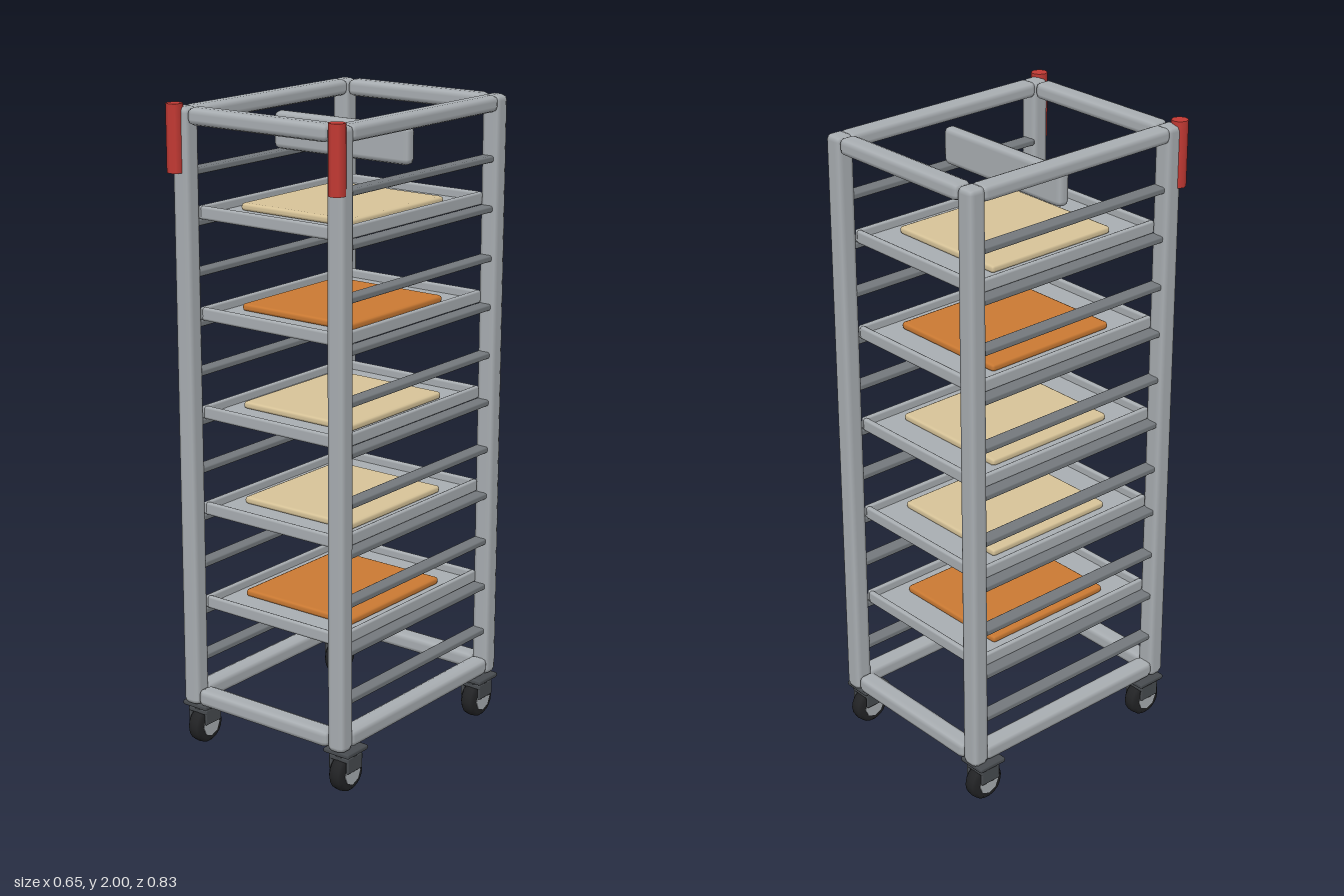
import * as THREE from 'three';
import { RoundedBoxGeometry } from 'three/addons/geometries/RoundedBoxGeometry.js';

export function createModel() {
  const model = new THREE.Group();
  model.name = 'trayTrolley';

  const paint = (name, color) => {
    const m = new THREE.MeshStandardMaterial({ color });
    m.name = name;
    return m;
  };
  const steel = paint('brushed steel', 0xa9aeb2);
  const railGrey = paint('rail grey', 0x74797d);
  const darkMetal = paint('dark metal', 0x484c50);
  const rubber = paint('black rubber', 0x222325);
  const red = paint('red bumper', 0xc43a34);
  const cream = paint('cream dough', 0xd8c499);
  const orange = paint('orange crust', 0xcb7a33);

  const add = (parent, name, geometry, material, x, y, z) => {
    const mesh = new THREE.Mesh(geometry, material);
    mesh.name = name;
    mesh.position.set(x, y, z);
    parent.add(mesh);
    return mesh;
  };
  // Box with softened edges, centred on x, y, z
  const bar = (parent, name, material, [w, h, d], [x, y, z], bevel) =>
    add(parent, name, new RoundedBoxGeometry(w, h, d, 1, bevel), material, x, y, z);

  const postX = 0.282, frontZ = 0.36, backZ = -0.385, midZ = -0.0125;

  // Frame: four posts, with side rails between them
  const frame = new THREE.Group();
  frame.name = 'frame';
  model.add(frame);
  for (const s of [-1, 1]) {
    for (const z of [frontZ, backZ])
      bar(frame, 'post', steel, [0.06, 1.85, 0.06], [s * postX, 1.065, z], 0.018);
    bar(frame, 'topSideRail', steel, [0.06, 0.05, 0.71], [s * postX, 1.965, midZ], 0.018);
    bar(frame, 'bottomSideRail', steel, [0.06, 0.055, 0.71], [s * postX, 0.172, midZ], 0.018);
    add(frame, 'cornerBumper', new THREE.CylinderGeometry(0.025, 0.025, 0.2, 8), red,
      s * 0.295, 1.9, 0.39);
  }
  // Cross bars at the front and back
  for (const z of [frontZ, backZ]) {
    bar(frame, 'topCrossBar', steel, [0.505, 0.052, 0.06], [0, 1.965, z], 0.018);
    bar(frame, 'bottomCrossBar', steel, [0.505, 0.055, 0.06], [0, 0.172, z], 0.018);
  }
  bar(frame, 'centreBoard', steel, [0.5, 0.115, 0.042], [0, 1.88, -0.013], 0.018);

  // Runners that carry the trays
  const runners = new THREE.Group();
  runners.name = 'runners';
  model.add(runners);
  for (let i = 0; i < 11; i++)
    for (const s of [-1, 1])
      bar(runners, 'runner', railGrey, [0.045, 0.02, 0.7], [s * 0.277, 0.29 + i * 0.151, midZ], 0.006);

  // Trays with raised rims, one on every second runner
  const loads = [orange, cream, cream, orange, cream];
  loads.forEach((load, i) => {
    const tray = new THREE.Group();
    tray.name = 'tray';
    tray.position.set(0, 0.451 + i * 0.302, midZ);
    bar(tray, 'trayBase', steel, [0.51, 0.014, 0.69], [0, 0.007, 0], 0.004);
    for (const s of [-1, 1]) {
      bar(tray, 'trayEndRim', steel, [0.51, 0.04, 0.018], [0, 0.02, s * 0.338], 0.008);
      bar(tray, 'traySideRim', steel, [0.016, 0.04, 0.69], [s * 0.257, 0.02, 0], 0.007);
    }
    bar(tray, 'bakedSheet', load, [0.408, 0.024, 0.455], [0, 0.025, -0.002], 0.01);
    model.add(tray);
  });

  // Casters
  for (const s of [-1, 1])
    for (const z of [0.328, -0.353]) {
      const caster = new THREE.Group();
      caster.name = 'caster';
      caster.position.set(s * 0.278, 0, z);
      bar(caster, 'mountPlate', darkMetal, [0.095, 0.016, 0.1], [0, 0.134, 0], 0.006);
      add(caster, 'swivel', new THREE.CylinderGeometry(0.04, 0.036, 0.014, 12), darkMetal, 0, 0.12, 0);
      bar(caster, 'forkCrown', darkMetal, [0.074, 0.016, 0.072], [0, 0.112, 0], 0.005);
      for (const t of [-1, 1])
        bar(caster, 'forkArm', darkMetal, [0.01, 0.05, 0.07], [t * 0.032, 0.095, 0], 0.004);
      // Tyre with rounded shoulders
      const tyre = [[0, -0.025], [0.048, -0.025], [0.058, -0.016], [0.06, 0],
        [0.058, 0.016], [0.048, 0.025], [0, 0.025]].map(([r, y]) => new THREE.Vector2(r, y));
      add(caster, 'wheel', new THREE.LatheGeometry(tyre, 18), rubber, 0, 0.06, 0).rotation.z = Math.PI / 2;
      add(caster, 'hub', new THREE.CylinderGeometry(0.036, 0.036, 0.054, 8), steel,
        0, 0.06, 0).rotation.z = Math.PI / 2;
      model.add(caster);
    }

  return model;
}
